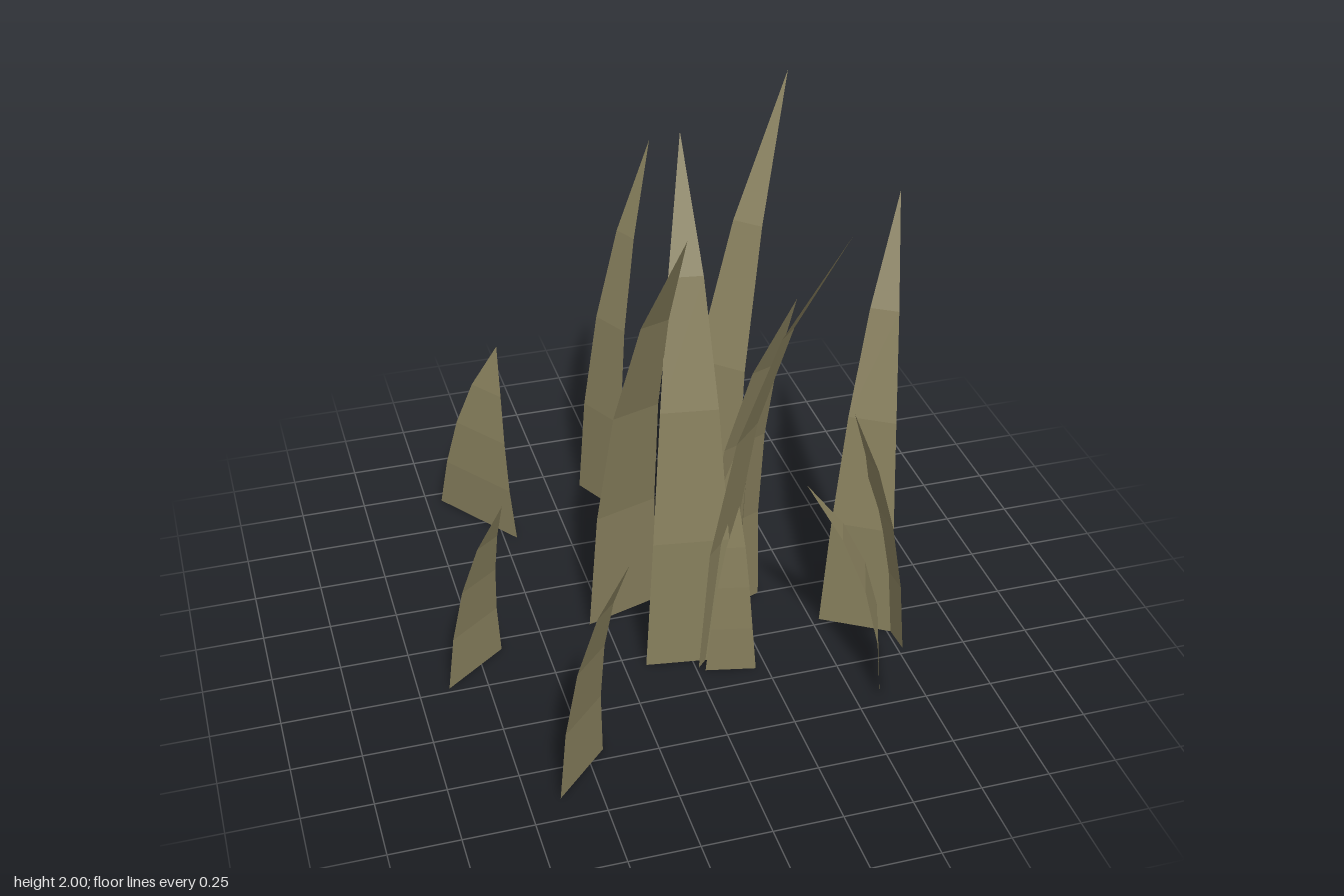
import * as THREE from 'three';

// Share of height, lean and width at each ring from root to tip
const RISE = [0, 0.27, 0.53, 0.768, 1];
const LEAN = [0, 0.06, 0.24, 0.54, 1];
const WIDTH = [1, 0.82, 0.62, 0.37, 0];

// Each blade: root corners (x, z), (x, z), then tip x, y, z
const BLADES = [
  // tall central tuft
  [-0.31, 0.01, -0.02, -0.08, -0.07, 1.82, 0.46],
  [-0.17, 0.30, 0.16, 0.35, 0.08, 1.92, -0.13],
  [0.01, 0.37, 0.19, 0.19, 0.42, 1.87, 0.65],
  [-0.03, 0.03, 0.19, 0.24, 0.54, 2.00, -0.35],
  [0.36, 0.00, 0.08, 0.11, 0.34, 1.50, 0.37],
  // short blades inside the tuft
  [0.03, 0.39, 0.21, 0.43, 0.16, 0.68, 0.35],
  [0.21, 0.20, 0.26, 0.08, 0.27, 0.74, 0.12],
  // side cluster
  [0.53, 0.22, 0.77, 0.37, 0.89, 1.60, -0.10],
  [0.77, 0.47, 0.75, 0.16, 0.59, 0.97, 0.32],
  [0.69, 0.43, 0.59, 0.70, 0.38, 0.78, 0.43],
  // scattered outer blades
  [-0.89, 0.23, -0.66, 0.06, -0.67, 0.78, 0.26],
  [-0.64, 0.90, -0.44, 0.70, -0.41, 0.99, 0.98],
  [-0.69, -0.95, -0.45, -0.61, -0.45, 0.75, -0.85],
  [-0.12, -0.90, 0.00, -0.66, 0.21, 1.49, -0.98],
];

// Curved, tapering strip made of flat cross-sections
function bladeGeometry([ax, az, bx, bz, tx, ty, tz]) {
  const mx = (ax + bx) / 2, mz = (az + bz) / 2;
  const hx = (bx - ax) / 2, hz = (bz - az) / 2;
  const rings = RISE.map((rise, i) => {
    const cx = mx + (tx - mx) * LEAN[i], cz = mz + (tz - mz) * LEAN[i];
    const w = WIDTH[i];
    return [
      [cx - hx * w, rise * ty, cz - hz * w],
      [cx + hx * w, rise * ty, cz + hz * w],
    ];
  });
  const positions = [];
  for (let i = 0; i < rings.length - 1; i++) {
    const [a, b] = rings[i], [d, c] = rings[i + 1];
    positions.push(...a, ...b, ...c);
    if (WIDTH[i + 1] > 0) positions.push(...a, ...c, ...d);
  }
  const geometry = new THREE.BufferGeometry();
  geometry.setAttribute('position', new THREE.Float32BufferAttribute(positions, 3));
  geometry.computeVertexNormals();
  return geometry;
}

export function createModel() {
  const group = new THREE.Group();
  group.name = 'grassClump';
  const dryGrass = new THREE.MeshStandardMaterial({ color: 0x857d5b, side: THREE.DoubleSide, flatShading: true });
  dryGrass.name = 'dry grass';
  BLADES.forEach((blade, i) => {
    const mesh = new THREE.Mesh(bladeGeometry(blade), dryGrass);
    mesh.name = `grassBlade${i + 1}`;
    group.add(mesh);
  });
  return group;
}
